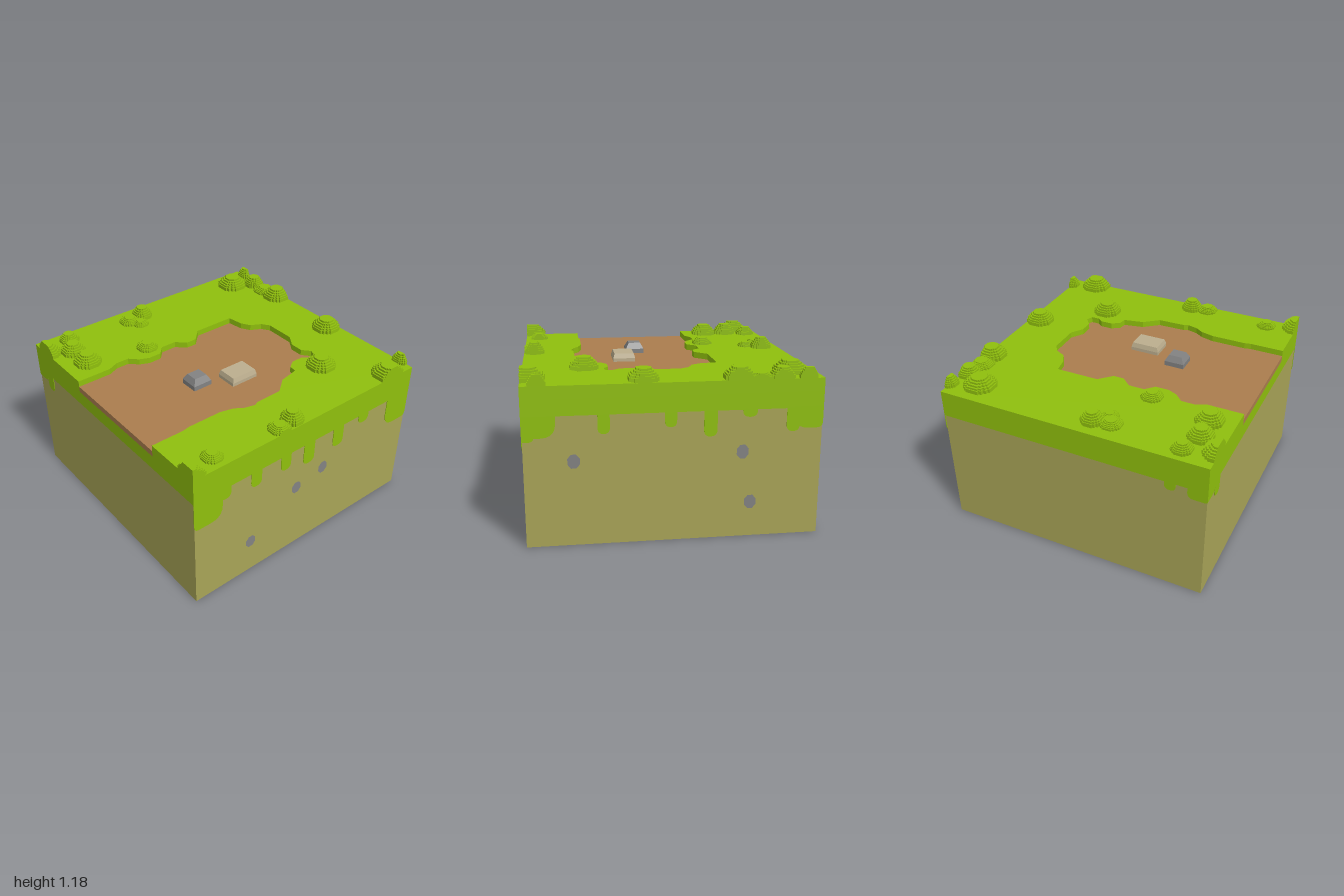
import * as THREE from 'three';
import { mergeGeometries } from 'three/addons/utils/BufferGeometryUtils.js';

const mat = (name, color) => Object.assign(new THREE.MeshStandardMaterial({ color }), { name });

// Outline of the path on the ground, as [x, z]; it leaves the block at x = -1
const PATH = [
  [-1, -.355], [-.74, -.355], [-.66, -.39], [-.56, -.39], [-.5, -.33], [-.43, -.3], [-.33, -.3],
  [-.27, -.365], [-.15, -.365], [-.08, -.3], [0, -.3], [.09, -.39], [.41, -.39], [.43, -.27],
  [.47, -.2], [.55, -.16], [.59, -.1], [.59, .13], [.53, .22], [.53, .32], [.58, .38], [.56, .43],
  [.5, .43], [.46, .4], [.37, .4], [.31, .44], [.3, .5], [.15, .53], [.04, .62], [-.17, .625],
  [-.2, .64], [-.28, .62], [-.34, .58], [-.44, .555], [-.7, .555], [-.75, .565], [-1, .565],
];

// Rounded grass drips per side: [from, to, bottom height]
const DRIPS = {
  front: [[-1, -.77, .67], [-.79, -.7, .81], [-.53, -.44, .775], [-.27, -.18, .775], [-.06, .04, .725],
    [.22, .32, .74], [.47, .57, .83], [.77, 1, .67]],
  left: [[-1, -.92, .73], [-1, -.78, .755], [-.51, -.43, .77], [-.07, .01, .8], [.19, .28, .725],
    [.45, .55, .85], [.75, .84, .74], [.8, 1, .76]].map(([a, b, y]) => [a, b, y]),
  back: [[.7, .78, .84], [.86, 1, .82]],
  right: [[-1, -.87, .83], [-.87, -.78, .77]],
};

// Pebbles set into the soil: [along side, height]
const PEBBLES = {
  front: [[-.52, .28], [-.11, .55], [.14, .605]],
  left: [[-.67, .59], [.455, .61], [.515, .25]],
  back: [], right: [],
};
const TURN = { front: 0, left: Math.PI / 2, back: Math.PI, right: -Math.PI / 2 };

// Bushes: [x, z, radius, height]
const BUSHES = [
  [-1, -.83, .105, .085], [-.77, -.89, .07, .065], [-.83, -.72, .085, .085], [-.82, -.53, .095, .085],
  [-.36, -.43, .075, .05], [-.25, -.84, .075, .045], [-.12, -.86, .075, .085], [-.2, -.76, .06, .035],
  [.79, -.82, .11, .085], [.95, -.72, .08, .075], [1, -.89, .06, .075], [.95, -.57, .09, .04],
  [.95, -.43, .1, .085], [.91, .2, .1, .085], [.49, .57, .1, .085], [-1, .95, .105, .085],
  [-.77, .89, .07, .045], [-.25, .94, .075, .045], [-.12, .92, .075, .085], [.79, .95, .11, .085],
  [1, .89, .06, .075],
];

// Extrudes an [x, z] outline upwards from y0 to y1
function slab(points, y0, y1) {
  const shape = new THREE.Shape(points.map(([x, z]) => new THREE.Vector2(x, -z)));
  return new THREE.ExtrudeGeometry(shape, { depth: y1 - y0, bevelEnabled: false })
    .rotateX(-Math.PI / 2).translate(0, y0, 0);
}

// Stepped dome of blocky layers, cut off at the edges of the block
function bush([x, z, r, h]) {
  const quarter = [[1, .45], [.87, .45], [.87, .66], [.66, .66], [.66, .87], [.45, .87], [.45, 1]];
  const ring = [];
  for (let q = 0; q < 4; q++) {
    const c = [1, 0, -1, 0][q], s = [0, 1, 0, -1][q];
    quarter.forEach(([u, v]) => {
      ring.push([u * c - v * s, u * s + v * c]);
    });
    // the quarter starts at low v, so the ring joins across each flat side
  }
  const sizes = [1, 1, .92, .8, .66, .52], step = h / sizes.length;
  const layers = sizes.map((f, i) =>
    slab(ring.map(([u, v]) => [x + u * r * f, z + v * r * f]), 1.1 + i * step, 1.1 + (i + 1) * step));
  const geo = mergeGeometries(layers), p = geo.attributes.position;
  for (let i = 0; i < p.count; i++) {
    p.setX(i, THREE.MathUtils.clamp(p.getX(i), -1, 1));
    p.setZ(i, THREE.MathUtils.clamp(p.getZ(i), -1, 1));
  }
  return geo;
}

// Thin tab hanging from the grass edge, with rounded lower corners
function drip([a, b, y]) {
  const r = Math.min((b - a) / 2, .91 - y, b - a > .15 ? .1 : .045);
  const ra = a <= -1 ? r * .4 : r, rb = b >= 1 ? r * .4 : r;
  const s = new THREE.Shape();
  s.moveTo(a, .91);
  s.lineTo(a, y + ra);
  s.quadraticCurveTo(a, y, a + ra, y);
  s.lineTo(b - rb, y);
  s.quadraticCurveTo(b, y, b, y + rb);
  s.lineTo(b, .91);
  return new THREE.ExtrudeGeometry(s, { depth: .004, bevelEnabled: false, curveSegments: 5 })
    .translate(0, 0, .996);
}

// Box with its top edges drawn in
function bevelledStone(w, h, d, inset) {
  const geo = new THREE.BoxGeometry(w, h, d, 1, 2, 1), p = geo.attributes.position;
  for (let i = 0; i < p.count; i++) {
    if (p.getY(i) < h * .4) continue;
    p.setX(i, p.getX(i) - Math.sign(p.getX(i)) * inset);
    p.setZ(i, p.getZ(i) - Math.sign(p.getZ(i)) * inset);
  }
  const flat = geo.toNonIndexed();
  flat.computeVertexNormals();
  return flat;
}

export function createModel() {
  const grass = mat('grass green', 0x8fbf0d);
  const soil = mat('soil', 0xa8a457);
  const dirt = mat('path brown', 0xab7d4e);
  const stone = mat('stone grey', 0x828282);
  const pale = mat('pale stone', 0xbcae8e);

  const model = new THREE.Group();
  model.name = 'groundBlock';
  const add = (name, geo, material, parent = model) => {
    const mesh = new THREE.Mesh(geo, material);
    mesh.name = name;
    parent.add(mesh);
    return mesh;
  };

  // Soil body and grass layer with the sunken path
  add('soilBody', new THREE.BoxGeometry(1.992, .9, 1.992).translate(0, .45, 0), soil);
  add('grassBand', new THREE.BoxGeometry(2, .11, 2).translate(0, .955, 0), grass);
  add('grassTop', slab([[-1, -1], [1, -1], [1, 1], [-1, 1], ...[...PATH].reverse()], 1.01, 1.1), grass);
  add('path', slab(PATH, 1.01, 1.055), dirt);

  // Drips and pebbles on each side
  for (const side of Object.keys(TURN)) {
    const group = new THREE.Group();
    group.name = side + 'Side';
    group.rotation.y = TURN[side];
    model.add(group);
    DRIPS[side].forEach((d) => add('grassDrip', drip(d), grass, group));
    PEBBLES[side].forEach(([u, y]) => {
      const geo = new THREE.CircleGeometry(.044, 8).rotateZ(Math.PI / 8).scale(1, 1.18, 1);
      add('pebble', geo.translate(u, y, .999), stone, group);
    });
  }

  // Bushes
  const bushes = new THREE.Group();
  bushes.name = 'bushes';
  model.add(bushes);
  BUSHES.forEach((b) => add('bush', bush(b), grass, bushes));

  // Stones lying on the path
  add('darkStone', bevelledStone(.15, .09, .14, .025), stone).position.set(-.315, 1.09, .135);
  add('flatStone', bevelledStone(.22, .07, .165, .01), pale).position.set(-.03, 1.08, .248);
  return model;
}
